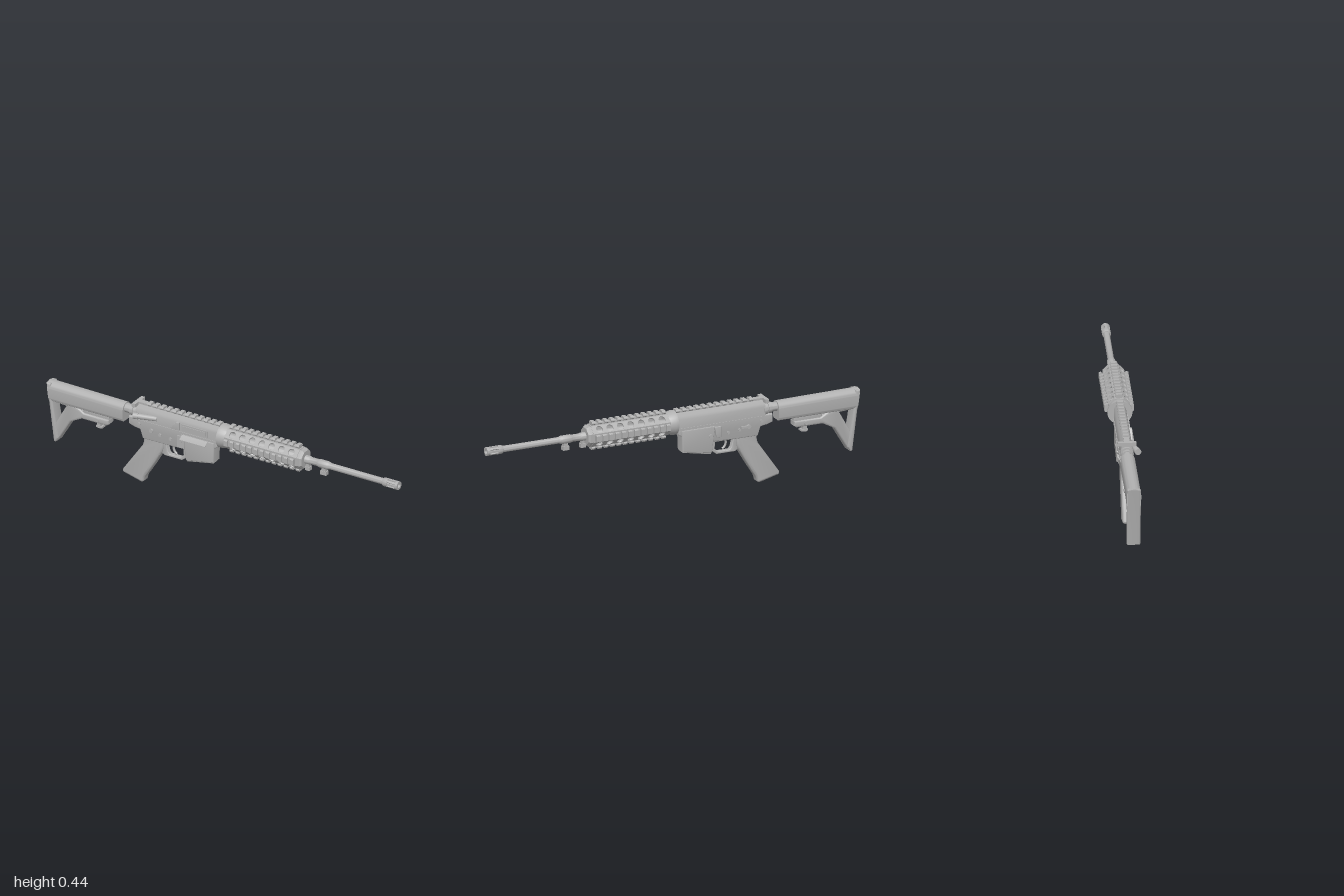
import * as THREE from 'three';
import { toCreasedNormals } from 'three/addons/utils/BufferGeometryUtils.js';

const AXIS = 0.371; // height of the barrel line

export function createModel() {
  const model = new THREE.Group();
  const grey = new THREE.MeshStandardMaterial({ color: 0xb0b0b0 });
  grey.name = 'grey';

  const add = (name, geo, parent = model) => {
    const mesh = new THREE.Mesh(geo, grey);
    mesh.name = name;
    parent.add(mesh);
    return mesh;
  };
  const group = (name, parent = model) => {
    const g = new THREE.Group();
    g.name = name;
    parent.add(g);
    return g;
  };
  const toShape = pts => new THREE.Shape(pts.map(p => new THREE.Vector2(...p)));

  // side profile in x/y, extruded to half width w with a rounded edge b
  const plate = (name, pts, w, b = 0.004, holes = [], parent = model) => {
    const shape = Array.isArray(pts) ? toShape(pts) : pts;
    holes.forEach(h => shape.holes.push(toShape(h)));
    const geo = new THREE.ExtrudeGeometry(shape, {
      depth: 2 * (w - b), bevelThickness: b, bevelSize: b, bevelOffset: -b, bevelSegments: 3, curveSegments: 8
    });
    geo.translate(0, 0, -(w - b));
    return add(name, toCreasedNormals(geo, 0.6), parent);
  };

  // cross-section in z/y, extruded from x0 to x1
  const prism = (name, shape, x0, x1, parent = model) => {
    const geo = new THREE.ExtrudeGeometry(Array.isArray(shape) ? toShape(shape) : shape,
      { depth: x1 - x0, bevelEnabled: false, curveSegments: 10 });
    geo.rotateY(Math.PI / 2).translate(x0, 0, 0);
    return add(name, toCreasedNormals(geo, 0.6), parent);
  };

  // turned part along x from [x, radius] points
  const turned = (name, pts, sides = 24, parent = model, crease = 0.6) => {
    const geo = new THREE.LatheGeometry(pts.map(([x, r]) => new THREE.Vector2(r, x)), sides);
    geo.rotateZ(-Math.PI / 2).translate(0, AXIS, 0);
    return add(name, toCreasedNormals(geo, crease), parent);
  };

  const box = (name, x0, x1, y0, y1, z0, z1, parent = model) => {
    const geo = new THREE.BoxGeometry(x1 - x0, y1 - y0, z1 - z0);
    geo.translate((x0 + x1) / 2, (y0 + y1) / 2, (z0 + z1) / 2);
    return add(name, geo, parent);
  };

  const pin = (name, x, y, r, z0, z1) => {
    const geo = new THREE.CylinderGeometry(r, r, z1 - z0, 16);
    geo.rotateX(Math.PI / 2).translate(x, y, (z0 + z1) / 2);
    return add(name, geo);
  };

  // toothed rail sitting at height y0, with a row of chamfered teeth
  const rail = (name, x0, x1, y0, y1, count, parent) => {
    const g = group(name, parent);
    const mid = y0 + (y1 - y0) * 0.5;
    box('railBase', x0, x1, y0, mid, -0.013, 0.013, g);
    const step = (x1 - x0) / (count - 0.45);
    const section = [[-0.013, mid - 0.006], [0.013, mid - 0.006], [0.019, mid], [0.019, mid + 0.004],
      [0.014, y1], [-0.014, y1], [-0.019, mid + 0.004], [-0.019, mid]];
    for (let i = 0; i < count; i++) prism('railTooth', section, x0 + i * step, x0 + (i + 0.55) * step, g);
  };

  // barrel
  turned('barrel', [[0, 0], [0, 0.021], [0.49, 0.021], [0.5, 0.018], [0.54, 0.018], [0.545, 0.021],
    [0.595, 0.021], [0.61, 0.016], [0.915, 0.016], [0.915, 0], ]);
  for (const [x, w, low] of [[0.482, 0.008, 0.325], [0.573, 0.012, 0.325]]) {
    box('barrelLug', x - w, x + w, low, 0.36, -0.009, 0.009);
    box('lugFoot', x - w - 0.006, x + w + 0.004, low - 0.008, low + 0.012, -0.012, 0.012);
  }

  // slotted muzzle
  const muzzle = group('muzzle');
  turned('muzzleCollar', [[0.912, 0], [0.912, 0.019], [0.918, 0.022], [0.94, 0.022], [0.94, 0]], 24, muzzle);
  turned('muzzleCore', [[0.935, 0.015], [0.995, 0.015]], 20, muzzle);
  turned('muzzleRing', [[0.985, 0.012], [0.985, 0.022], [1, 0.022], [1, 0.012], [0.95, 0.011], [0.95, 0]], 24, muzzle);
  for (let i = 0; i < 8; i++) {
    const bar = group('muzzleBar', muzzle);
    bar.position.y = AXIS;
    bar.rotation.x = i * Math.PI / 4;
    box('bar', 0.935, 0.99, 0.013, 0.021, -0.005, 0.005, bar);
  }

  // eight-sided handguard with pierced diagonal faces and four rails
  const guard = group('handguard');
  guard.position.y = AXIS;
  const gx0 = 0.03, gx1 = 0.445, apothem = 0.053, half = apothem * Math.tan(Math.PI / 8);
  for (let k = 0; k < 8; k++) {
    const side = group('handguardSide', guard);
    side.rotation.x = k * Math.PI / 4;
    const panel = toShape([[gx0, -half], [gx1, -half], [gx1, half], [gx0, half]]);
    if (k % 2) {
      for (let i = 0; i < 7; i++) {
        const hole = new THREE.Path();
        hole.absarc(0.07 + i * 0.056, 0, 0.0175, 0, Math.PI * 2, true);
        panel.holes.push(hole);
      }
    } else rail('handguardRail', 0.04, 0.437, 0.05, 0.072, 12, side);
    const geo = new THREE.ExtrudeGeometry(panel, { depth: 0.007, bevelEnabled: false, curveSegments: 10 });
    geo.rotateX(-Math.PI / 2).translate(0, apothem - 0.007, 0);
    add('handguardPanel', toCreasedNormals(geo, 0.6), side);
  }
  turned('handguardRing', [[-0.012, 0], [-0.012, 0.061], [0.004, 0.061], [0.034, 0.053], [0.034, 0]], 28);
  const cap = turned('handguardCap', [[0.44, 0], [0.44, 0.055], [0.458, 0.055], [0.468, 0.046], [0.468, 0.022], [0.468, 0]], 8, model, 0.3);
  cap.geometry.translate(0, -AXIS, 0).rotateX(Math.PI / 8).translate(0, AXIS, 0);

  // upper receiver
  prism('upperReceiver', [[-0.03, 0.33], [0.03, 0.33], [0.03, 0.388], [0.024, 0.402], [0.014, 0.42],
    [-0.014, 0.42], [-0.024, 0.402], [-0.03, 0.388]], -0.49, -0.01);
  rail('receiverRail', -0.43, -0.015, 0.417, 0.438, 12);
  box('chargingHandle', -0.502, -0.482, 0.411, 0.43, -0.046, 0.046);
  box('chargingStem', -0.485, -0.42, 0.414, 0.43, -0.014, 0.014);
  box('ejectionPort', -0.225, -0.075, 0.35, 0.387, 0.028, 0.034);
  box('boltCover', -0.215, -0.085, 0.358, 0.379, 0.03, 0.037);
  plate('shellDeflector', [[-0.29, 0.35], [-0.235, 0.35], [-0.235, 0.392], [-0.25, 0.392]], 0.008, 0.002).position.z = 0.034;
  box('sideRib', -0.48, -0.02, 0.333, 0.343, -0.033, 0.033);

  // open, curved port door
  const door = [[0.03, 0.327], [0.04, 0.318], [0.055, 0.311]];
  const doorShape = toShape([...door, ...door.map(([z, y]) => [z, y - 0.003]).reverse()].map(([z, y]) => [-z, y]));
  prism('portDoor', doorShape, -0.225, -0.078);

  // angled forward plunger
  const plunger = group('forwardPlunger');
  plunger.position.set(-0.37, 0.372, 0.026);
  plunger.rotation.z = Math.PI / 2;
  const tilt = group('plungerTilt', plunger);
  tilt.rotation.x = 0.25;
  for (const [r0, r1, a, b] of [[0.014, 0.012, 0, 0.095], [0.016, 0.016, 0.095, 0.12]]) {
    const geo = new THREE.CylinderGeometry(r0, r1, b - a, 18);
    geo.translate(0, (a + b) / 2, 0);
    add('plunger', geo, tilt);
  }

  // lower receiver and magazine well
  plate('lowerReceiver', [[-0.53, 0.345], [-0.53, 0.305], [-0.5, 0.295], [-0.465, 0.29], [-0.45, 0.245],
    [-0.33, 0.245], [-0.2, 0.25], [-0.04, 0.3], [-0.015, 0.315], [-0.015, 0.34]], 0.028);
  plate('magazineWell', [[-0.22, 0.33], [-0.205, 0.205], [-0.2, 0.192], [-0.045, 0.22], [-0.04, 0.33]], 0.031, 0.006);
  plate('magazineBase', [[-0.205, 0.21], [-0.2, 0.184], [-0.05, 0.213], [-0.05, 0.23]], 0.022, 0.003);
  box('magazineRelease', -0.25, -0.208, 0.255, 0.318, 0.02, 0.035);
  pin('releaseButton', -0.23, 0.292, 0.01, 0.03, 0.039);
  plate('boltCatch', [[-0.25, 0.325], [-0.25, 0.27], [-0.225, 0.27], [-0.215, 0.325]], 0.006, 0.002).position.z = -0.03;
  pin('catchButton', -0.195, 0.28, 0.01, -0.037, -0.028);
  for (const [x, y] of [[-0.03, 0.32], [-0.47, 0.318], [-0.29, 0.285], [-0.35, 0.29]])
    pin('receiverPin', x, y, 0.008, -0.033, 0.033);
  pin('selectorHub', -0.4, 0.3, 0.011, -0.036, 0.034);
  box('selectorLever', -0.4, -0.355, 0.296, 0.307, -0.04, -0.032);

  // trigger and its guard
  plate('triggerGuard', [[-0.35, 0.255], [-0.35, 0.187], [-0.335, 0.177], [-0.235, 0.177], [-0.205, 0.2], [-0.205, 0.255]],
    0.013, 0.003, [[[-0.325, 0.24], [-0.315, 0.2], [-0.305, 0.189], [-0.245, 0.189], [-0.225, 0.205], [-0.228, 0.24]]]);
  const triggerPath = new THREE.CatmullRomCurve3([[-0.285, 0.25], [-0.29, 0.225], [-0.282, 0.205], [-0.27, 0.196]]
    .map(([x, y]) => new THREE.Vector3(x, y, 0)));
  add('trigger', new THREE.TubeGeometry(triggerPath, 10, 0.006, 8));

  // raked pistol grip with rounded edges
  const grip = new THREE.Shape();
  grip.moveTo(-0.475, 0.295);
  grip.quadraticCurveTo(-0.435, 0.25, -0.455, 0.205);
  grip.lineTo(-0.567, 0.045);
  grip.quadraticCurveTo(-0.575, 0.028, -0.555, 0.024);
  grip.lineTo(-0.465, 0.001);
  grip.quadraticCurveTo(-0.448, 0, -0.447, 0.018);
  grip.lineTo(-0.442, 0.035);
  grip.quadraticCurveTo(-0.395, 0.105, -0.358, 0.172);
  grip.quadraticCurveTo(-0.335, 0.2, -0.34, 0.255);
  grip.lineTo(-0.36, 0.285);
  plate('grip', grip, 0.026, 0.011);

  // rear tube, nut and ring plate
  turned('rearTube', [[-0.9, 0], [-0.9, 0.023], [-0.48, 0.023], [-0.48, 0]]);
  turned('tubeNut', [[-0.53, 0], [-0.53, 0.028], [-0.512, 0.028], [-0.512, 0]]);
  turned('receiverRing', [[-0.505, 0], [-0.505, 0.033], [-0.485, 0.033], [-0.485, 0]]);

  // rounded stock body, with its rear end sheared to the butt slope
  const body = new THREE.Shape();
  body.moveTo(-0.024, 0.305);
  body.lineTo(0.024, 0.305);
  body.quadraticCurveTo(0.034, 0.306, 0.035, 0.325);
  body.lineTo(0.035, 0.367);
  body.absarc(0, 0.365, 0.035, 0, Math.PI, false);
  body.lineTo(-0.035, 0.325);
  body.quadraticCurveTo(-0.034, 0.306, -0.024, 0.305);
  const stock = prism('stockBody', body, -1, -0.56);
  const sp = stock.geometry.attributes.position;
  for (let i = 0; i < sp.count; i++)
    if (sp.getX(i) < -0.9) {
      const y = sp.getY(i);
      sp.setXY(i, -1 + (0.405 - y) * 0.16, y > 0.36 ? y + 0.005 : y);
    }

  // butt, open brace and adjusting lever
  plate('butt', [[-0.985, 0.325], [-0.951, 0.092], [-0.94, 0.095], [-0.865, 0.22], [-0.8, 0.253], [-0.66, 0.253],
    [-0.648, 0.262], [-0.648, 0.285], [-0.79, 0.285], [-0.83, 0.31], [-0.88, 0.325]], 0.026, 0.007,
    [[[-0.965, 0.303], [-0.948, 0.195], [-0.89, 0.298]]]);
  plate('buttPad', [[-1, 0.4], [-0.985, 0.305], [-0.957, 0.092], [-0.947, 0.09], [-0.932, 0.115], [-0.958, 0.26], [-0.968, 0.33], [-0.975, 0.4]], 0.034, 0.008);
  plate('stockBrace', [[-0.8, 0.31], [-0.8, 0.275], [-0.65, 0.275], [-0.65, 0.31]], 0.017, 0.003);
  box('adjustLever', -0.722, -0.7, 0.222, 0.26, -0.012, 0.012);
  box('leverFoot', -0.725, -0.69, 0.225, 0.235, -0.015, 0.015);
  pin('leverPin', -0.711, 0.27, 0.01, -0.03, 0.03);

  return model;
}
